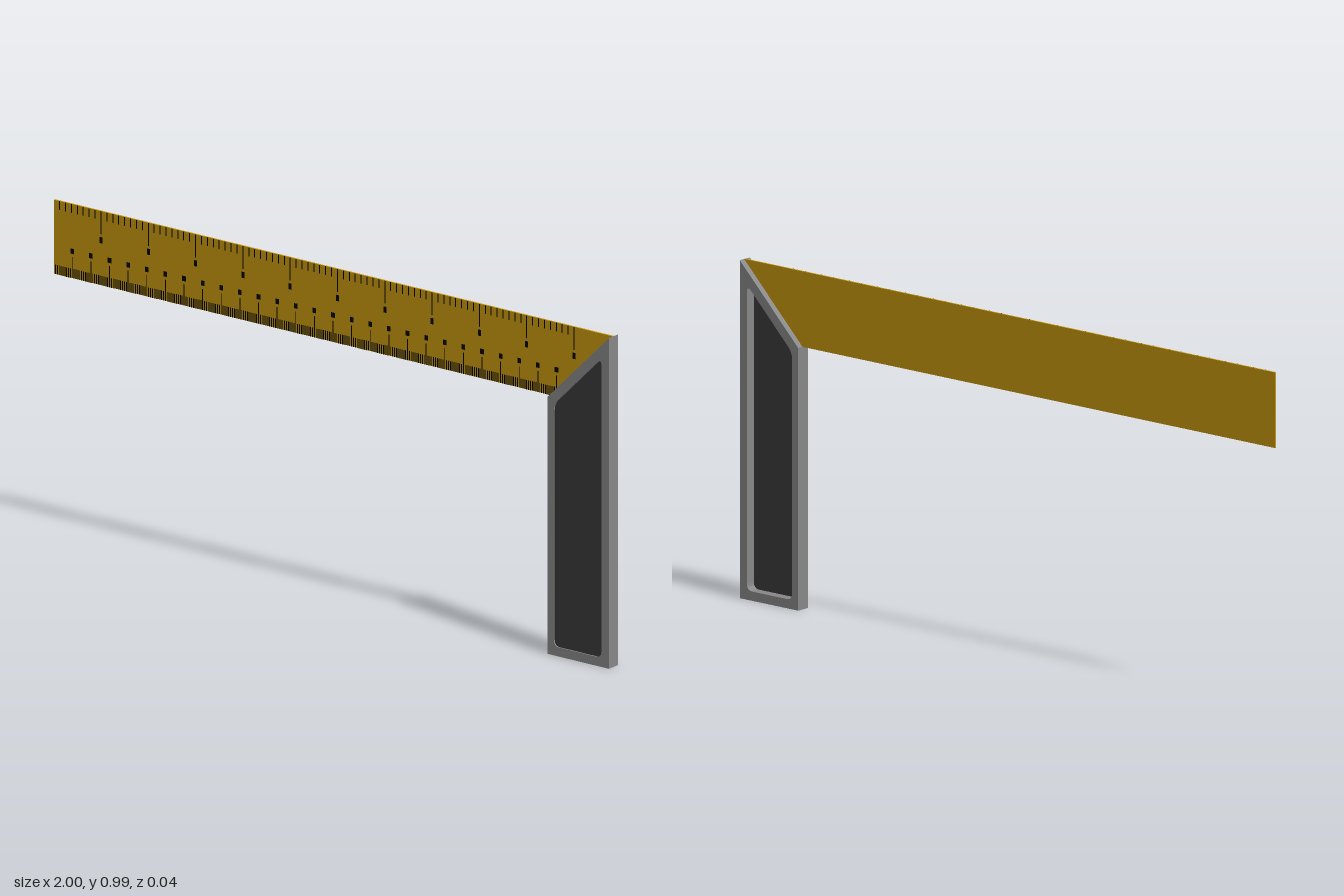
import * as THREE from 'three';
import { mergeGeometries } from 'three/addons/utils/BufferGeometryUtils.js';

const TOP = 0.985, BOTTOM = 0.765, HALF_DEPTH = 0.0215, BLADE_HALF = 0.003;

const mat = (name, color) => new THREE.MeshStandardMaterial({ name, color });

// Trace a polygon, rounding each corner by r
function trace(path, pts, r = 0) {
  const v = pts.map(([x, y]) => new THREE.Vector2(x, y));
  v.forEach((p, i) => {
    const prev = v[(i + v.length - 1) % v.length], next = v[(i + 1) % v.length];
    const a = prev.clone().sub(p).setLength(r).add(p);
    const b = next.clone().sub(p).setLength(r).add(p);
    if (i === 0) path.moveTo(a.x, a.y); else path.lineTo(a.x, a.y);
    if (r > 0) path.quadraticCurveTo(p.x, p.y, b.x, b.y);
  });
  path.closePath();
  return path;
}

// Extrude a shape between two z positions
function slab(shape, z0, z1) {
  return new THREE.ExtrudeGeometry(shape, { depth: z1 - z0, bevelEnabled: false, curveSegments: 6 })
    .translate(0, 0, z0);
}

// Thin painted rectangle on the front of the blade
const mark = (x, y, w, h) =>
  new THREE.BoxGeometry(w, h, 0.001).translate(x, y, BLADE_HALF + 0.0005);

export function createModel() {
  const model = new THREE.Group();
  model.name = 'mitreSquare';
  const brass = mat('brassYellow', 0xc8980f);
  const grey = mat('frameGrey', 0x888888);
  const dark = mat('panelDark', 0x3a3a3a);
  const black = mat('markBlack', 0x000000);

  const add = (name, geometry, material) => {
    const mesh = new THREE.Mesh(geometry, material);
    mesh.name = name;
    model.add(mesh);
  };

  // Blade with a 45 degree end seated on the handle
  const blade = trace(new THREE.Shape(), [[-1, BOTTOM], [0.78, BOTTOM], [1, TOP], [-1, TOP]]);
  add('blade', slab(blade, -BLADE_HALF, BLADE_HALF), brass);

  // Handle frame with a rounded opening
  const opening = [[0.803, 0.027], [0.973, 0.027], [0.973, 0.918], [0.803, 0.748]];
  const frame = trace(new THREE.Shape(), [[0.78, 0], [1, 0], [1, TOP], [0.78, BOTTOM]]);
  frame.holes.push(trace(new THREE.Path(), opening, 0.02));
  add('handleFrame', slab(frame, -HALF_DEPTH, HALF_DEPTH), grey);

  // Panel near the front of the opening, leaving a deep pocket behind
  add('handlePanel', slab(trace(new THREE.Shape(), opening, 0.02), 0.008, 0.0175), dark);

  // Inch graduations along the top edge
  const inch = 0.1692, inches = [], inchDots = [];
  for (let i = 1; i <= 11 * 8; i++) {
    const x = -1 + (i * inch) / 8;
    const h = i % 8 === 0 ? 0.068 : 0.026;
    inches.push(mark(x, TOP - h / 2, 0.0028, h));
    if (i % 8 === 0) inchDots.push(mark(x, 0.899, 0.01, 0.018));
  }
  add('inchTicks', mergeGeometries(inches), black);
  add('inchDots', mergeGeometries(inchDots), black);

  // Millimetre and centimetre graduations along the bottom edge
  const mm = inch / 25.4, ticks = [], dots = [];
  for (let i = 1; i <= 270; i++) {
    const x = -1 + i * mm;
    const h = i % 10 === 0 ? 0.063 : 0.028;
    ticks.push(mark(x, BOTTOM + h / 2, 0.0026, h));
    if (i % 10 === 0) dots.push(mark(x, 0.845, 0.012, 0.015));
  }
  add('millimetreTicks', mergeGeometries(ticks), black);
  add('centimetreDots', mergeGeometries(dots), black);

  return model;
}
